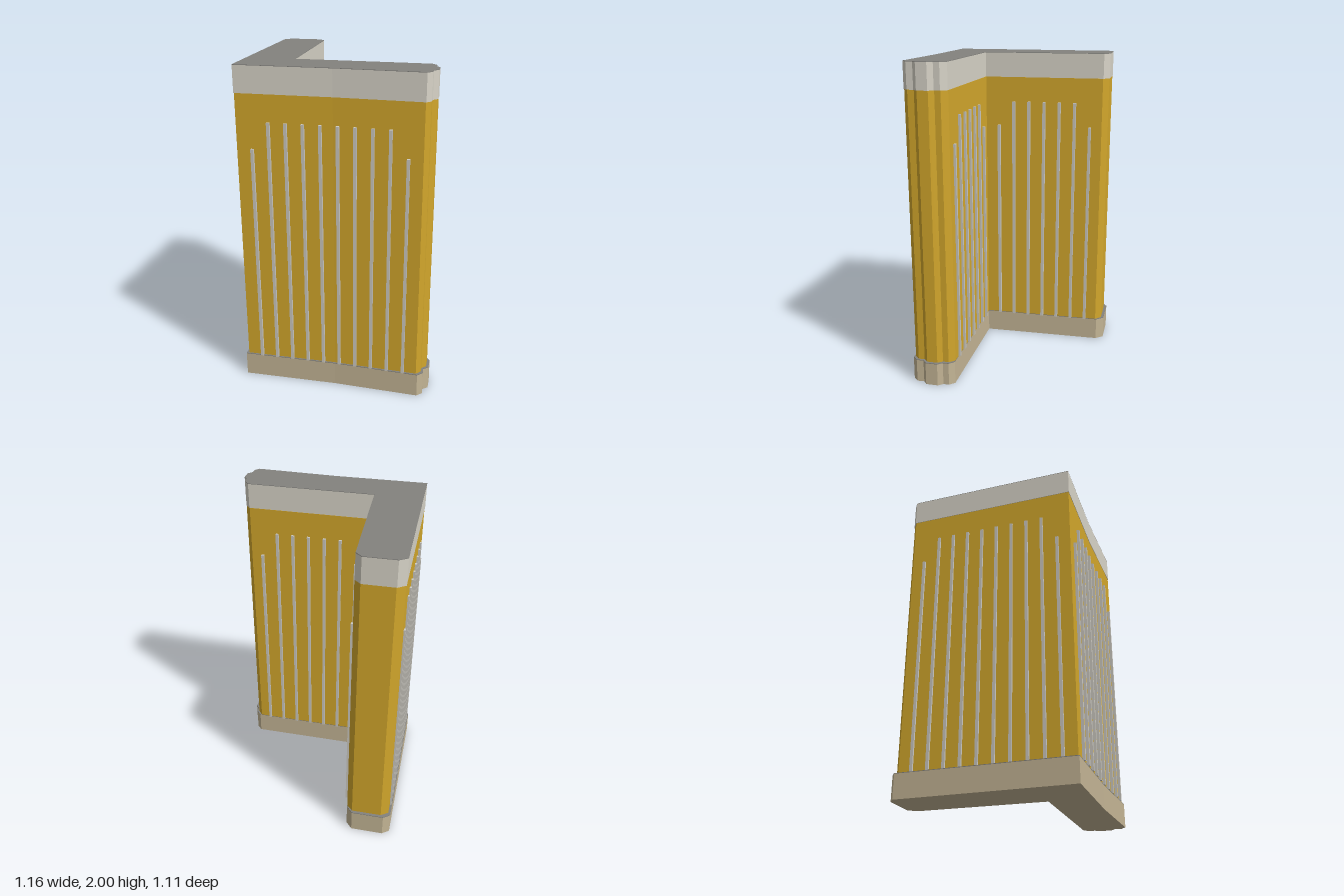
import * as THREE from 'three';

// Footprints as [x, z], going round the L shape from the outer corner
const BASE = [
  [-0.583, 0.53], [0, 0.53], [0.522, 0.555], [0.554, 0.524], [0.551, 0.48], [0.581, 0.456], [0.581, 0.38],
  [0.557, 0.35], [0.557, 0.313], [0.525, 0.281], [-0.276, 0.274], [-0.295, -0.51], [-0.335, -0.557],
  [-0.54, -0.557], [-0.583, -0.525],
];
const CAP = [
  [-0.571, 0.524], [0, 0.524], [0.515, 0.546], [0.542, 0.518], [0.542, 0.478], [0.568, 0.452], [0.568, 0.385],
  [0.545, 0.355], [0.545, 0.318], [0.515, 0.282], [-0.277, 0.275], [-0.297, -0.505], [-0.335, -0.542],
  [-0.525, -0.542], [-0.571, -0.51],
];
const WALL = CAP.map(([x, z]) => [x * 0.995, z * 0.995]);

export function createModel() {
  const group = new THREE.Group();
  const material = (name, color) => {
    const m = new THREE.MeshStandardMaterial({ color });
    m.name = name;
    return m;
  };
  const gold = material('gold wall', 0xd4a82c);
  const pale = material('pale stone', 0xd9d5c9);
  const tan = material('tan stone', 0xc5b696);
  const grey = material('grey roof', 0x83827e);
  const metal = material('fin grey', 0xcdcac2);

  // Upright prism over a footprint
  const prism = (name, points, y0, y1, mat) => {
    const shape = new THREE.Shape(points.map(([x, z]) => new THREE.Vector2(x, -z)));
    const geo = new THREE.ExtrudeGeometry(shape, { depth: y1 - y0, bevelEnabled: false });
    geo.rotateX(-Math.PI / 2);
    const mesh = new THREE.Mesh(geo, mat);
    mesh.position.y = y0;
    mesh.name = name;
    group.add(mesh);
  };
  prism('base', BASE, 0, 0.146, tan);
  prism('baseLedge', BASE, 0.146, 0.15, grey);
  prism('wall', WALL, 0.15, 1.84, gold);
  prism('parapet', CAP, 1.84, 1.997, pale);
  prism('roof', CAP, 1.997, 2, grey);

  // Row of vertical fins; the outermost two are shorter
  const fins = (name, count, place) => {
    const row = new THREE.Group();
    row.name = name;
    for (let i = 0; i < count; i++) {
      const h = (i === 0 || i === count - 1 ? 1.52 : 1.68) - 0.15;
      const fin = new THREE.Mesh(new THREE.BoxGeometry(0.018, h, 0.026), metal);
      const [x, z, turn] = place(i);
      fin.position.set(x, 0.15 + h / 2, z);
      fin.rotation.y = turn;
      fin.name = 'fin';
      row.add(fin);
    }
    group.add(row);
  };
  const side = Math.PI / 2;
  fins('frontFins', 10, (i) => {
    const x = -0.475 + i * 0.1005;
    return [x, 0.525 + Math.max(0, x) * 0.043, 0];
  });
  fins('outerSideFins', 10, (i) => [-0.567, -0.428 + i * 0.0965, side]);
  fins('innerBackFins', 7, (i) => [-0.178 + i * 0.103, 0.273 + i * 0.001, 0]);
  fins('innerSideFins', 7, (i) => [-0.284 + i * 0.0025, -0.425 + i * 0.1018, side]);

  return group;
}
